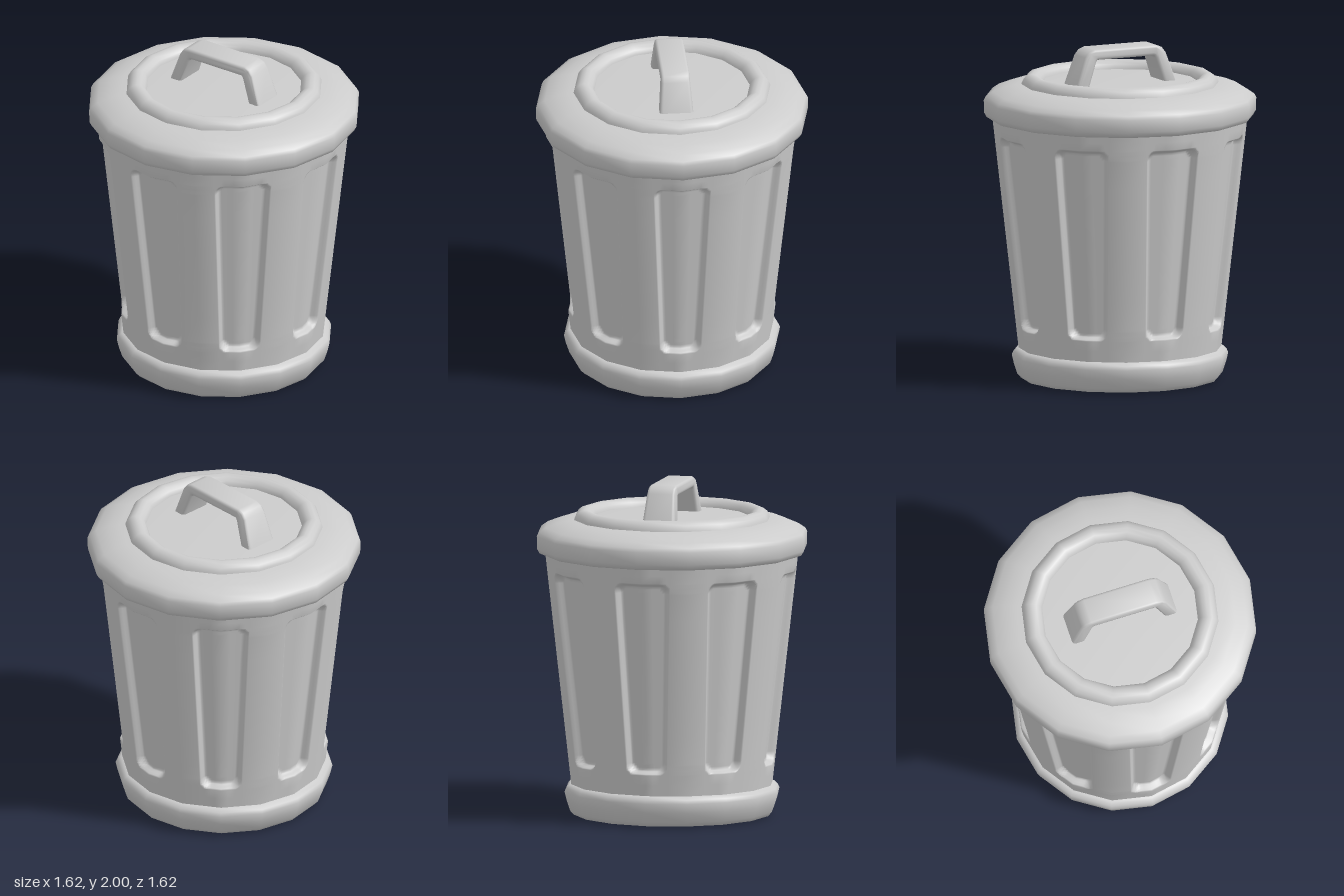
import * as THREE from 'three';
import { toCreasedNormals } from 'three/addons/utils/BufferGeometryUtils.js';

const SIDES = 16;
const material = new THREE.MeshStandardMaterial({ color: 0xcccccc });

function part(name, geometry) {
  const mesh = new THREE.Mesh(geometry, material);
  mesh.name = name;
  return mesh;
}

// Turned part: profile runs from the axis below, outwards, up and back in
function turned(name, profile, crease) {
  const points = profile.map(([r, y]) => new THREE.Vector2(r, y));
  return part(name, toCreasedNormals(new THREE.LatheGeometry(points, SIDES), crease));
}

// Tapered 16-sided wall with eight recessed, round-cornered panels
function bodyGeometry() {
  const yLow = 0.34, yHigh = 1.455, depth = 0.05, bevel = 0.028, corner = 0.04;
  const sector = Math.PI / 8;
  const offsets = [-0.04, -0.028, -0.014, 0, 0.007, 0.014, 0.021, 0.028];
  const rows = [0.15, 0.25, ...offsets.map(o => yLow - o).reverse(),
    0.55, 0.8, 1.05, 1.25, ...offsets.map(o => yHigh + o), 1.53, 1.6];
  const radiusAt = y => 0.605 + (y - 0.19) * 0.1123;
  const halfWidthAt = y => THREE.MathUtils.lerp(0.102, 0.15, (y - yLow) / (yHigh - yLow));

  // Distance outside the rounded panel floor, turned into a recess amount
  const recess = (x, y) => {
    const qx = Math.abs(x) - halfWidthAt(y) + corner;
    const qy = Math.abs(y - (yLow + yHigh) / 2) - (yHigh - yLow) / 2 + corner;
    const d = Math.hypot(Math.max(qx, 0), Math.max(qy, 0)) + Math.min(Math.max(qx, qy), 0) - corner;
    return depth * (1 - THREE.MathUtils.smoothstep(d, 0, bevel));
  };

  const positions = [], index = [];
  let columns = 0;
  rows.forEach(y => {
    const r = radiusAt(y), w = halfWidthAt(y);
    const half = [w * 0.4, ...offsets.map(o => w + o)].map(x => x / r);
    const angles = [...half.map(a => -a).reverse(), 0, ...half, sector];
    columns = angles.length * 8;
    for (let p = 0; p < 8; p++) {
      for (const a of angles) {
        const toFlat = Math.abs(a) - sector / 2;
        const polygon = r * Math.cos(sector / 2) / Math.cos(toFlat);
        const radius = polygon - recess(a * r, y);
        const theta = a + p * 2 * sector;
        positions.push(radius * Math.sin(theta), y, radius * Math.cos(theta));
      }
    }
  });
  for (let j = 0; j < rows.length - 1; j++) {
    for (let i = 0; i < columns; i++) {
      const a = j * columns + i, b = j * columns + (i + 1) % columns;
      index.push(a, b, b + columns, a, b + columns, a + columns);
    }
  }
  const geometry = new THREE.BufferGeometry();
  geometry.setAttribute('position', new THREE.Float32BufferAttribute(positions, 3));
  geometry.setIndex(index);
  geometry.computeVertexNormals();
  return geometry;
}

// Bent strap handle, slightly wider at the feet
function handleGeometry() {
  const bevel = 0.018;
  const outer = [[0.315, 1.77], [0.25, 1.945], [0.23, 1.97], [0.2, 1.982]];
  const inner = [[0.185, 1.955], [0.2, 1.95], [0.213, 1.93], [0.268, 1.77]];
  const right = [...outer.slice().reverse(), ...inner.slice().reverse()];
  const left = right.map(([x, y]) => [-x, y]).reverse();
  const shape = new THREE.Shape([...right, ...left].map(([x, y]) => new THREE.Vector2(x, y)));
  const geometry = new THREE.ExtrudeGeometry(shape, {
    depth: 0.136, bevelEnabled: true, bevelSize: bevel, bevelThickness: bevel, bevelSegments: 3,
  });
  geometry.translate(0, 0, -0.068);
  const pos = geometry.attributes.position;
  for (let i = 0; i < pos.count; i++) {
    const flare = THREE.MathUtils.clamp((1.96 - pos.getY(i)) / 0.16, 0, 1);
    pos.setZ(i, pos.getZ(i) * (1 + 0.18 * flare));
  }
  return toCreasedNormals(geometry, 0.8);
}

export function createModel() {
  const model = new THREE.Group();
  model.name = 'trashCan';

  model.add(part('body', bodyGeometry()));

  // Rounded foot ring with a shallow recess underneath
  model.add(turned('base', [
    [0, 0.05], [0.43, 0.05], [0.45, 0.025], [0.49, 0.005], [0.54, 0], [0.59, 0.005],
    [0.612, 0.03], [0.632, 0.09], [0.645, 0.145], [0.635, 0.168], [0.615, 0.187], [0.58, 0.19],
  ], 0.85));

  // Overhanging lid with a raised ring around the handle
  const lid = new THREE.Group();
  lid.name = 'lid';
  lid.add(turned('lidCover', [
    [0, 1.57], [0.775, 1.57], [0.795, 1.578], [0.81, 1.605], [0.812, 1.68], [0.8, 1.703],
    [0.76, 1.73], [0.69, 1.757], [0.62, 1.772], [0.5, 1.78], [0, 1.785],
  ], 0.9));
  lid.add(turned('lidRing', [
    [0.59, 1.76], [0.585, 1.785], [0.572, 1.808], [0.55, 1.825], [0.525, 1.832],
    [0.5, 1.825], [0.478, 1.808], [0.465, 1.785], [0.462, 1.76],
  ], 0.9));
  lid.add(part('handle', handleGeometry()));
  model.add(lid);

  return model;
}
